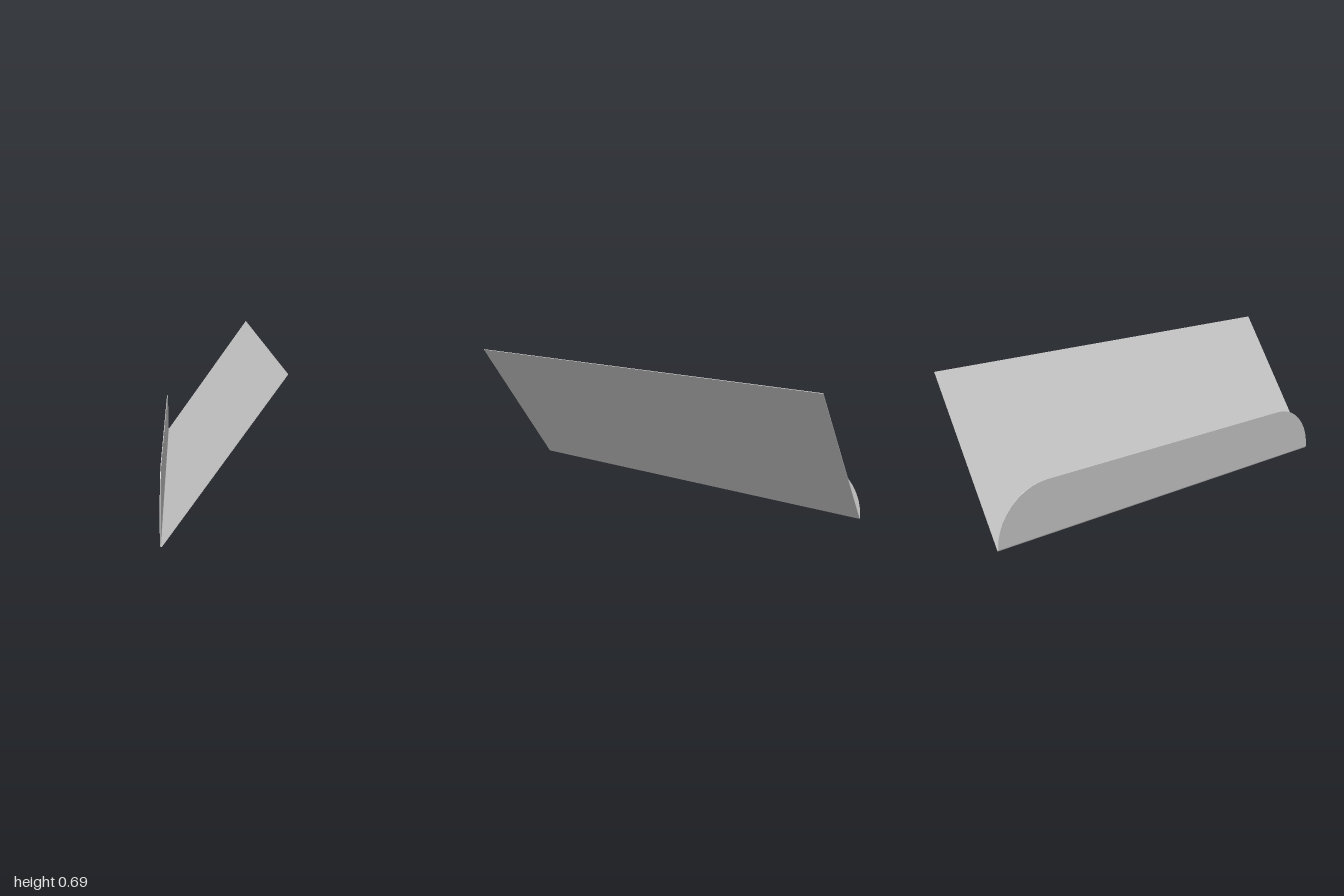
import * as THREE from 'three';

const LENGTH = 2;       // along z
const THICKNESS = 0.003;
const LIP_BASE = 0.007; // where the lip leaves the bend
const LIP_TOP = 0.266;
const LIP_INNER_X = -0.2445;

export function createModel() {
  const group = new THREE.Group();
  group.name = 'bentSheet';
  const material = new THREE.MeshStandardMaterial({
    color: 0xcccccc, flatShading: true, side: THREE.DoubleSide,
  });
  const add = (name, geometry) => {
    const mesh = new THREE.Mesh(geometry, material);
    mesh.name = name;
    group.add(mesh);
  };

  // Sloping panel with the small bend at its foot, extruded along z
  const profile = [
    [-0.2475, LIP_BASE], [-0.2465, 0.003], [-0.2435, 0], [-0.239, 0.0005],
    [0.2475, 0.6865], [0.245, 0.6882],
    [-0.2415, 0.0022], [-0.243, 0.003], [LIP_INNER_X, 0.005], [LIP_INNER_X, LIP_BASE],
  ].map(([x, y]) => new THREE.Vector2(x, y));
  const panel = new THREE.ExtrudeGeometry(new THREE.Shape(profile), { depth: LENGTH, bevelEnabled: false });
  panel.translate(0, 0, -LENGTH / 2);
  add('slopingPanel', panel);

  // Upright lip whose ends are full quarter rounds of five facets
  const r = LIP_TOP - LIP_BASE;
  const end = LENGTH / 2;
  const outline = new THREE.Shape();
  outline.moveTo(-end, LIP_BASE);
  outline.lineTo(end, LIP_BASE);
  outline.absarc(end - r, LIP_BASE, r, 0, Math.PI / 2, false);
  outline.absarc(-end + r, LIP_BASE, r, Math.PI / 2, Math.PI, false);
  const lip = new THREE.ExtrudeGeometry(outline, { depth: THICKNESS, bevelEnabled: false, curveSegments: 5 });
  lip.rotateY(-Math.PI / 2);
  lip.translate(LIP_INNER_X, 0, 0);
  add('uprightLip', lip);

  return group;
}
